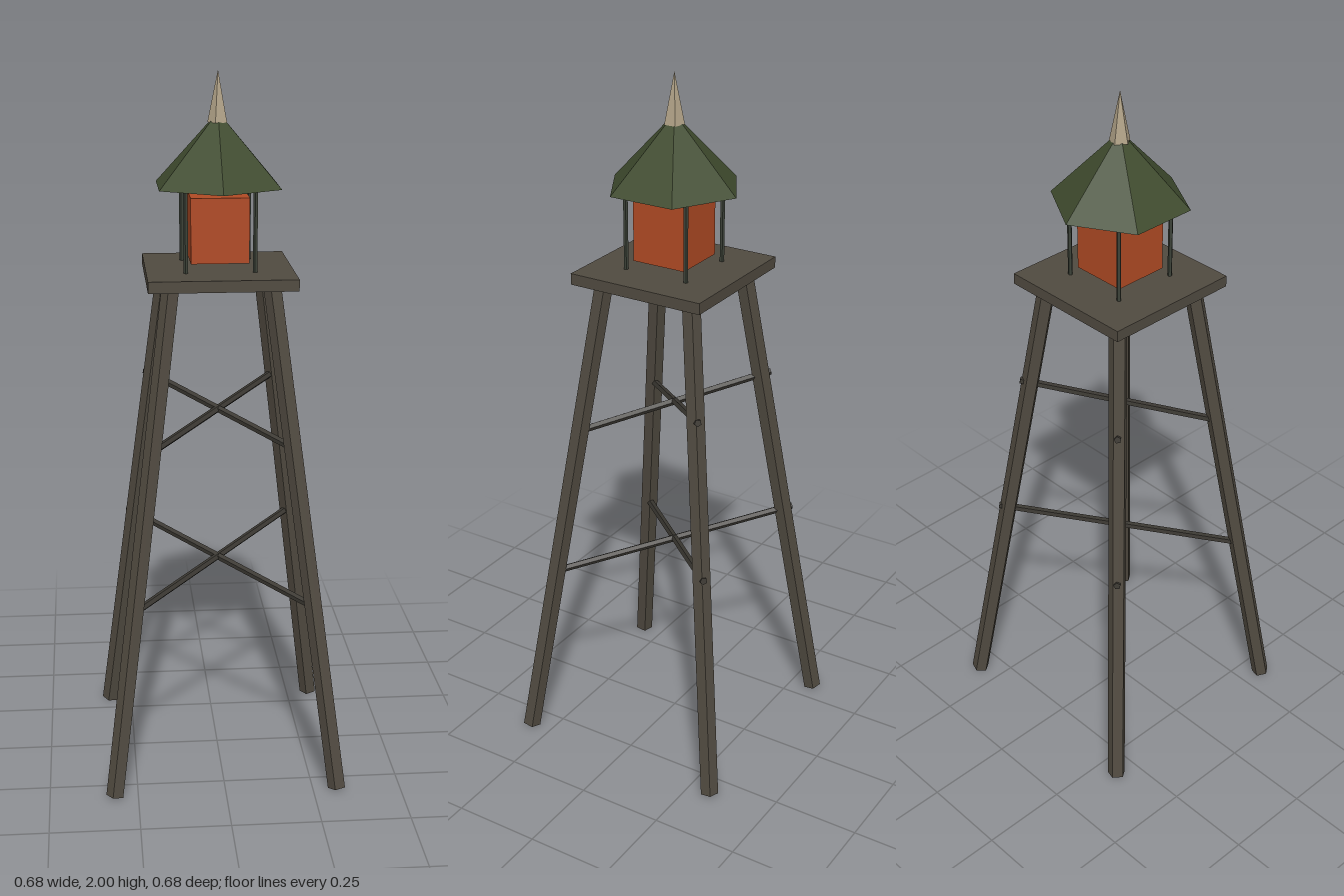
import * as THREE from 'three';

const mat = (name, color) => {
  const m = new THREE.MeshStandardMaterial({ color });
  m.name = name;
  return m;
};

export function createModel() {
  const group = new THREE.Group();
  const timber = mat('weathered timber', 0x504a40);
  const brace = mat('dark brace', 0x3b3832);
  const post = mat('post grey green', 0x3c4238);
  const orange = mat('lantern orange', 0xb04a24);
  const green = mat('roof green', 0x3f4b2e);
  const tan = mat('spire tan', 0xb0a186);

  // Every face is flat, so each mesh gets its own unshared normals
  const add = (name, geo, material, x = 0, y = 0, z = 0) => {
    let flat = geo;
    if (geo.index) flat = geo.toNonIndexed();
    flat.computeVertexNormals();
    const mesh = new THREE.Mesh(flat, material);
    mesh.name = name;
    mesh.position.set(x, y, z);
    group.add(mesh);
    return mesh;
  };

  // Five-sided bar between two points
  const up = new THREE.Vector3(0, 1, 0);
  const bar = (name, a, b, r, material) => {
    const p = new THREE.Vector3(...a), q = new THREE.Vector3(...b);
    const geo = new THREE.CylinderGeometry(r, r, p.distanceTo(q), 5, 1, false, -Math.PI / 2);
    const mesh = add(name, geo, material);
    mesh.position.copy(p).add(q).multiplyScalar(0.5);
    mesh.quaternion.setFromUnitVectors(up, q.sub(p).normalize());
  };

  // Splayed legs and the slim posts above them
  for (const sx of [-1, 1]) {
    for (const sz of [-1, 1]) {
      bar('leg', [sx * 0.317, 0.005, sz * 0.317], [sx * 0.138, 1.438, sz * 0.138], 0.0262, timber);
      bar('post', [sx * 0.095, 1.46, sz * 0.095], [sx * 0.095, 1.692, sz * 0.095], 0.0065, post);
    }
    // Diagonal braces through the middle, rising towards the back
    for (const [y, w] of [[0.6, 0.255], [1.05, 0.2]]) {
      bar('brace', [-sx * w, y - 0.065, w], [sx * w, y + 0.065, -w], 0.0105, brace);
    }
  }

  // Platform and lantern room
  add('platform', new THREE.BoxGeometry(0.407, 0.032, 0.407), timber, 0, 1.447);
  add('lanternRoom', new THREE.BoxGeometry(0.161, 0.18, 0.161), orange, 0, 1.575);

  // Six-sided roof and five-sided spire
  add('roof', new THREE.ConeGeometry(0.192, 0.2, 6), green, 0, 1.788);
  add('spire', new THREE.ConeGeometry(0.029, 0.14, 5, 1, false, -Math.PI / 2), tan, 0, 1.93);

  // The five-sided legs are lopsided, so shift to centre the outline
  for (const child of group.children) child.position.x += 0.0025;
  return group;
}
